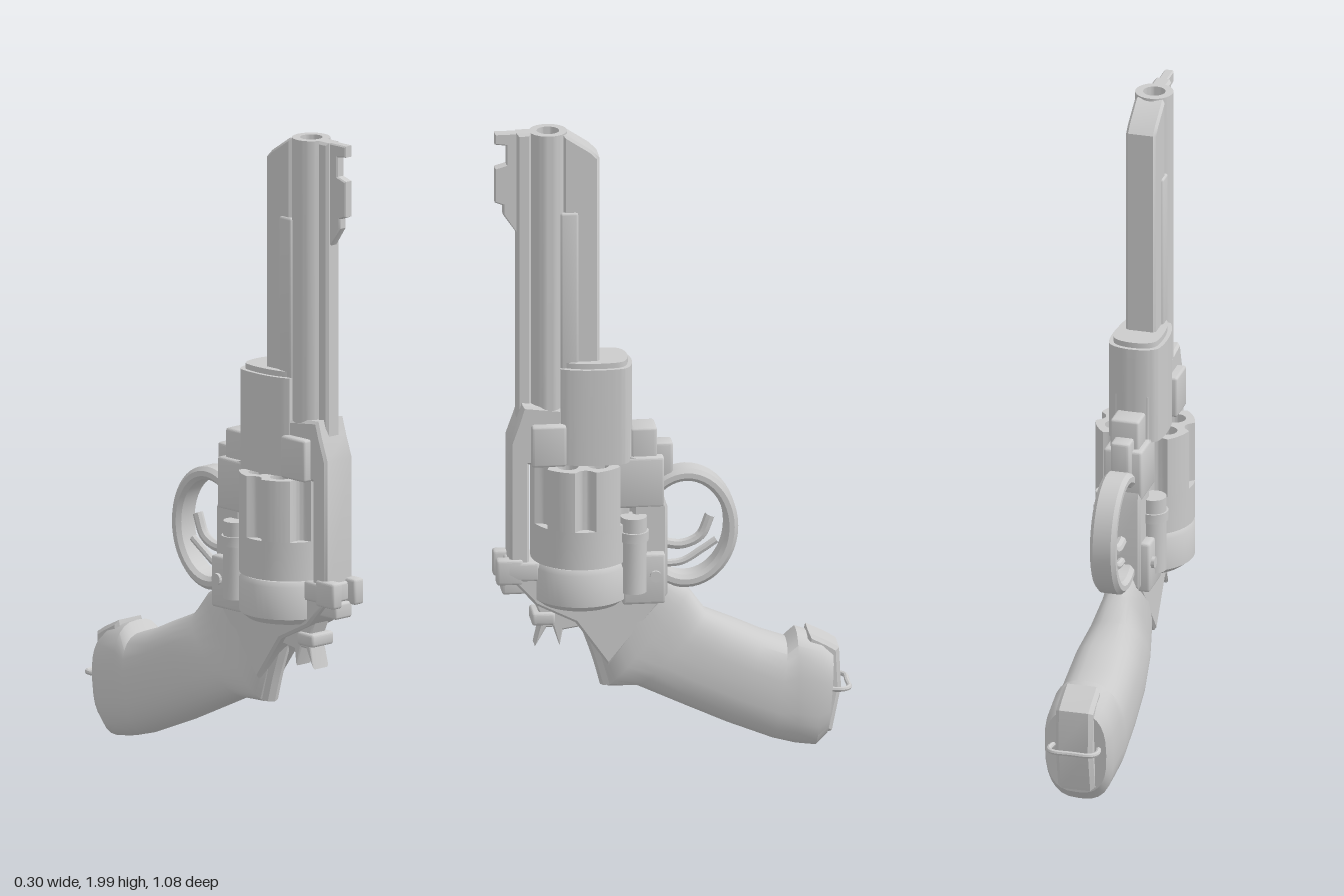
import * as THREE from 'three';
import { toCreasedNormals } from 'three/addons/utils/BufferGeometryUtils.js';
import { RoundedBoxGeometry } from 'three/addons/geometries/RoundedBoxGeometry.js';

export function createModel() {
  const root = new THREE.Group();
  const mat = new THREE.MeshStandardMaterial({ color: 0xcccccc });
  const add = (name, geo, x = 0, y = 0, z = 0) => {
    const m = new THREE.Mesh(toCreasedNormals(geo, 0.6), mat);
    m.name = name;
    m.position.set(x, y, z);
    root.add(m);
    return m;
  };
  const poly = (pts) => new THREE.Shape(pts.map(([a, b]) => new THREE.Vector2(a, b)));

  // Side profile of (z, y) points, extruded symmetrically across x
  const side = (name, shape, half, bevel = 0.008) => {
    const g = new THREE.ExtrudeGeometry(shape, {
      depth: 2 * (half - bevel), bevelEnabled: bevel > 0, bevelSize: bevel, bevelOffset: -bevel,
      bevelThickness: bevel, bevelSegments: 1, curveSegments: 24,
    });
    g.translate(0, 0, bevel - half);
    g.rotateY(-Math.PI / 2);
    return add(name, g);
  };
  // Plan shape of (x, z) points, extruded between two heights
  const upright = (name, shape, y0, y1, z) => {
    const g = new THREE.ExtrudeGeometry(shape, { depth: y1 - y0, bevelEnabled: false, curveSegments: 24 });
    g.rotateX(Math.PI / 2);
    return add(name, g, 0, y1, z);
  };
  const box = (name, half, y0, y1, z0, z1, x = 0, r = 0.008) =>
    add(name, new RoundedBoxGeometry(half * 2, y1 - y0, z1 - z0, 2, r), x, (y0 + y1) / 2, (z0 + z1) / 2);
  const tube = (name, pts, r, closed = false) => add(name, new THREE.TubeGeometry(
    new THREE.CatmullRomCurve3(pts.map((p) => new THREE.Vector3(...p)), closed, 'centripetal'), 32, r, 8, closed));
  const hole = (x, y, r) => new THREE.Path().absarc(x, y, r, 0, Math.PI * 2, true);

  // Barrel with open bore
  const ring = new THREE.Shape().absarc(0, 0, 0.058, 0, Math.PI * 2);
  ring.holes.push(hole(0, 0, 0.034));
  upright('barrel', ring, 1.0, 2.0, 0.377);
  side('barrelRib', poly([[0.43, 1.0], [0.475, 1.0], [0.475, 2], [0.43, 2]]), 0.027);
  side('barrelUnderlug', poly([[0.335, 1.1], [0.225, 1.1], [0.225, 1.92], [0.25, 1.945], [0.325, 1.995], [0.335, 1.995]]), 0.047);
  box('barrelSideRib', 0.053, 1.2, 1.75, 0.29, 0.345);
  side('frontSight', poly([[0.46, 1.66], [0.515, 1.74], [0.515, 1.77], [0.54, 1.78], [0.54, 1.89], [0.505, 1.9],
    [0.505, 1.96], [0.54, 1.965], [0.54, 2], [0.46, 2]]), 0.015, 0.004);

  // Lug under the barrel
  const lug = new THREE.Shape();
  lug.moveTo(-0.06, 0.345);
  lug.lineTo(0.06, 0.345);
  lug.bezierCurveTo(0.09, 0.3, 0.09, 0.2, 0.08, 0.16);
  lug.bezierCurveTo(0.07, 0.11, -0.07, 0.11, -0.08, 0.16);
  lug.bezierCurveTo(-0.09, 0.2, -0.09, 0.3, -0.06, 0.345);
  upright('barrelLug', lug, 0.95, 1.255, 0);
  const cap = lug.getPoints(10).map((p) => [p.x * 0.85, 0.23 + (p.y - 0.23) * 0.88]);
  upright('barrelLugCap', poly(cap), 1.25, 1.272, 0);
  box('barrelCollar', 0.085, 0.95, 1.08, 0.33, 0.435);

  // Frame with a window for the cylinder
  const frame = poly([[0.5, 0.59], [0.5, 1.02], [0.475, 1.09], [0.46, 1.14], [0.3, 1.12], [0.13, 1.1], [0.13, 0.96],
    [0.06, 0.9], [0.02, 0.8], [0.02, 0.52], [0.06, 0.47], [0.2, 0.3], [0.3, 0.44], [0.42, 0.5]]);
  frame.holes.push(new THREE.Path([[0.44, 0.63], [0.44, 0.95], [0.125, 0.95], [0.125, 0.63]].map((p) => new THREE.Vector2(...p))));
  side('frame', frame, 0.058);

  // Fluted cylinder with six chambers
  const flutes = [];
  for (let i = 0; i < 144; i++) {
    const a = (i / 144) * Math.PI * 2;
    const d = Math.abs(((a + Math.PI / 6) % (Math.PI / 3)) - Math.PI / 6);
    const r = 0.15 - 0.026 * Math.sqrt(Math.max(0, 1 - (d / 0.19) ** 2));
    flutes.push([r * Math.cos(a), r * Math.sin(a)]);
  }
  const drum = poly(flutes);
  for (let i = 0; i < 6; i++) {
    const a = ((i + 0.5) * Math.PI) / 3;
    drum.holes.push(hole(0.093 * Math.cos(a), 0.093 * Math.sin(a), 0.032));
  }
  upright('cylinderFluted', drum, 0.76, 0.95, 0.28);
  add('cylinderBase', new THREE.CylinderGeometry(0.15, 0.15, 0.12, 48), 0, 0.7, 0.28);
  add('recoilShield', new THREE.LatheGeometry([[0, 0.5], [0.125, 0.5], [0.15, 0.52], [0.15, 0.62], [0.14, 0.635], [0, 0.635]]
    .map((p) => new THREE.Vector2(...p)), 48), 0, 0, 0.28);

  // Latch pieces and hinge bosses ahead of the trigger
  for (const s of [-1, 1]) {
    add('hingeBoss', new THREE.CylinderGeometry(0.04, 0.04, 0.24, 16), s * 0.07, 0.66, 0.125);
    add('hingeCollar', new THREE.CylinderGeometry(0.046, 0.046, 0.03, 16), s * 0.07, 0.72, 0.125);
    box('sidePlate', 0.02, 0.5, 0.66, 0.03, 0.16, s * 0.065);
    add('frameScrew', new THREE.CylinderGeometry(0.018, 0.018, 0.014, 12), s * 0.088, 0.59, 0.06).rotation.z = Math.PI / 2;
    box('rearSightPost', 0.02, 0.57, 0.65, 0.46, 0.54, s * 0.045);
  }
  box('latchBlock', 0.06, 0.8, 0.96, 0.03, 0.19);
  box('latchTop', 0.045, 0.9, 1.05, 0.05, 0.13);
  box('latchTab', 0.03, 0.87, 0.995, 0.0, 0.06);
  box('rearSightBase', 0.065, 0.58, 0.64, 0.41, 0.51);
  box('rearSightLeaf', 0.035, 0.53, 0.58, 0.42, 0.52);

  // Trigger guard and triggers
  const guard = new THREE.Shape().absellipse(-0.04, 0.72, 0.158, 0.19, 0, Math.PI * 2);
  guard.holes.push(new THREE.Path().absellipse(-0.04, 0.72, 0.118, 0.15, 0, Math.PI * 2, true));
  side('triggerGuard', guard, 0.04, 0.012);
  tube('trigger', [[0, 0.67, 0.04], [0, 0.66, -0.03], [0, 0.685, -0.085], [0, 0.75, -0.115]], 0.016);
  tube('lowerTrigger', [[0, 0.6, 0.04], [0, 0.605, -0.03], [0, 0.64, -0.09], [0, 0.67, -0.135]], 0.012);

  // Hammer with spurs
  side('hammer', poly([[0.43, 0.52], [0.4, 0.45], [0.42, 0.36], [0.385, 0.42], [0.365, 0.42], [0.345, 0.36], [0.335, 0.41],
    [0.27, 0.42], [0.235, 0.36], [0.2, 0.38], [0.25, 0.52]]), 0.032, 0.005);
  box('hammerSpur', 0.045, 0.43, 0.47, 0.36, 0.43);

  // Grip: stations of front edge (z, y), back edge (z, y), half width
  const stations = [
    [0.03, 0.57, 0.25, 0.4, 0.055], [-0.05, 0.52, 0.2, 0.22, 0.062], [-0.1, 0.45, 0.11, 0.22, 0.085],
    [-0.19, 0.41, -0.02, 0.16, 0.104], [-0.27, 0.372, -0.16, 0.095, 0.11], [-0.345, 0.345, -0.3, 0.038, 0.112],
    [-0.375, 0.375, -0.37, 0.018, 0.11], [-0.45, 0.35, -0.43, 0.01, 0.108], [-0.485, 0.32, -0.465, 0.045, 0.095],
  ];
  const n = 28, pos = [], idx = [];
  const pow = (v) => Math.sign(v) * Math.abs(v) ** 0.75;
  for (const [az, ay, bz, by, w] of stations) {
    for (let j = 0; j < n; j++) {
      const a = (j / n) * Math.PI * 2, c = pow(Math.cos(a)) / 2;
      pos.push(w * pow(Math.sin(a)), (ay + by) / 2 + c * (ay - by), (az + bz) / 2 + c * (az - bz));
    }
  }
  const last = (stations.length - 1) * n;
  for (let i = 0; i < last; i += n) {
    for (let j = 0; j < n; j++) {
      const a = i + j, b = i + ((j + 1) % n);
      idx.push(a, b, b + n, a, b + n, a + n);
    }
  }
  for (let j = 1; j < n - 1; j++) idx.push(0, j + 1, j, last, last + j, last + j + 1);
  const grip = new THREE.BufferGeometry();
  grip.setAttribute('position', new THREE.Float32BufferAttribute(pos, 3));
  grip.setIndex(idx);
  add('grip', grip);
  tube('gripHeel', [[0, 0.42, 0.25], [0, 0.32, 0.215], [0, 0.23, 0.19]], 0.03);

  // Butt cap and lanyard loop
  side('buttCap', poly([[-0.4, 0.33], [-0.41, 0.375], [-0.47, 0.345], [-0.502, 0.325], [-0.508, 0.2], [-0.48, 0.06], [-0.44, 0.05]]), 0.058, 0.012);
  tube('lanyardLoop', [[-0.065, 0.2, -0.45], [-0.075, 0.2, -0.51], [-0.06, 0.2, -0.53], [0, 0.2, -0.532],
    [0.06, 0.2, -0.53], [0.075, 0.2, -0.51], [0.065, 0.2, -0.45]], 0.008);
  return root;
}
